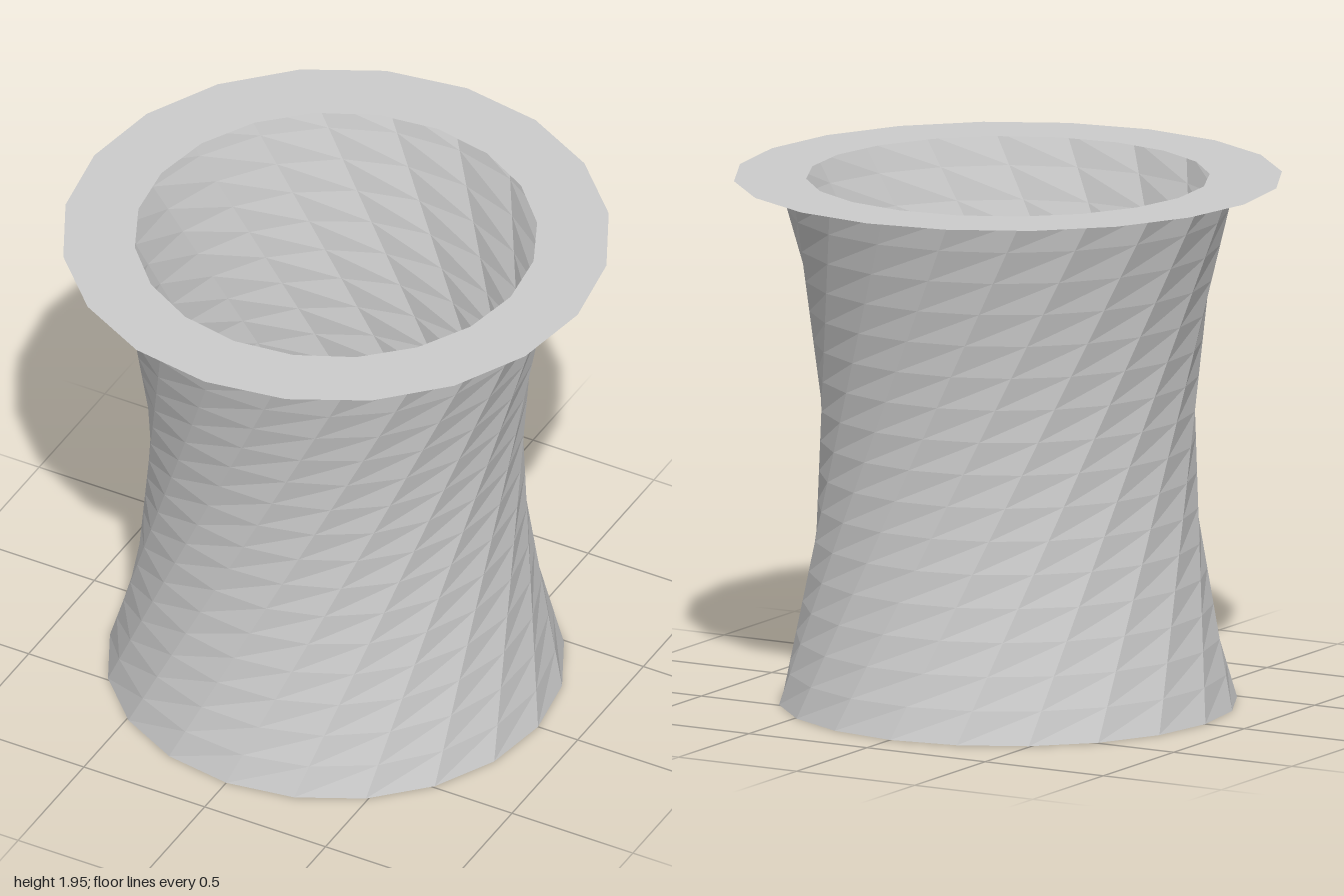
import * as THREE from 'three';

const SIDES = 20, HEIGHT = 1.945, RADIUS = 0.836, TWIST = THREE.MathUtils.degToRad(70);
const STEP = (Math.PI * 2) / SIDES;

// Straight-ruled waisted wall: each line joins a bottom corner to a turned top corner
function wallGeometry(rows = 16) {
  const positions = [], index = [];
  for (let j = 0; j <= rows; j++) {
    const t = j / rows;
    for (let i = 0; i < SIDES; i++) {
      const a = i * STEP, b = a + TWIST;
      positions.push(
        RADIUS * THREE.MathUtils.lerp(Math.sin(a), Math.sin(b), t),
        HEIGHT * t,
        RADIUS * THREE.MathUtils.lerp(Math.cos(a), Math.cos(b), t)
      );
    }
  }
  for (let j = 0; j < rows; j++) {
    for (let i = 0; i < SIDES; i++) {
      const n = (i + 1) % SIDES;
      const p = j * SIDES + i, q = j * SIDES + n;
      index.push(p, q, q + SIDES, p, q + SIDES, p + SIDES);
    }
  }
  const geometry = new THREE.BufferGeometry();
  geometry.setAttribute('position', new THREE.Float32BufferAttribute(positions, 3));
  geometry.setIndex(index);
  geometry.computeVertexNormals();
  return geometry;
}

// Corners of a regular polygon, lying flat once rotated about x
function polygon(radius, turn = 0) {
  return Array.from({ length: SIDES }, (_, i) => {
    const a = i * STEP + turn;
    return new THREE.Vector2(radius * Math.sin(a), -radius * Math.cos(a));
  });
}

export function createModel() {
  const group = new THREE.Group();
  const material = new THREE.MeshStandardMaterial({
    color: 0xcccccc, flatShading: true, side: THREE.DoubleSide,
  });
  const add = (name, geometry, y = 0) => {
    const mesh = new THREE.Mesh(geometry, material);
    mesh.name = name;
    mesh.position.y = y;
    group.add(mesh);
  };

  add('twistedWall', wallGeometry());

  // Closed bottom
  add('floor', new THREE.ShapeGeometry(new THREE.Shape(polygon(RADIUS))).rotateX(-Math.PI / 2));

  // Thin flat rim, its opening turned slightly with the wall
  const rim = new THREE.Shape(polygon(1));
  rim.holes.push(new THREE.Path(polygon(0.735, -0.03)));
  add('rim', new THREE.ShapeGeometry(rim).rotateX(-Math.PI / 2), HEIGHT);

  return group;
}
